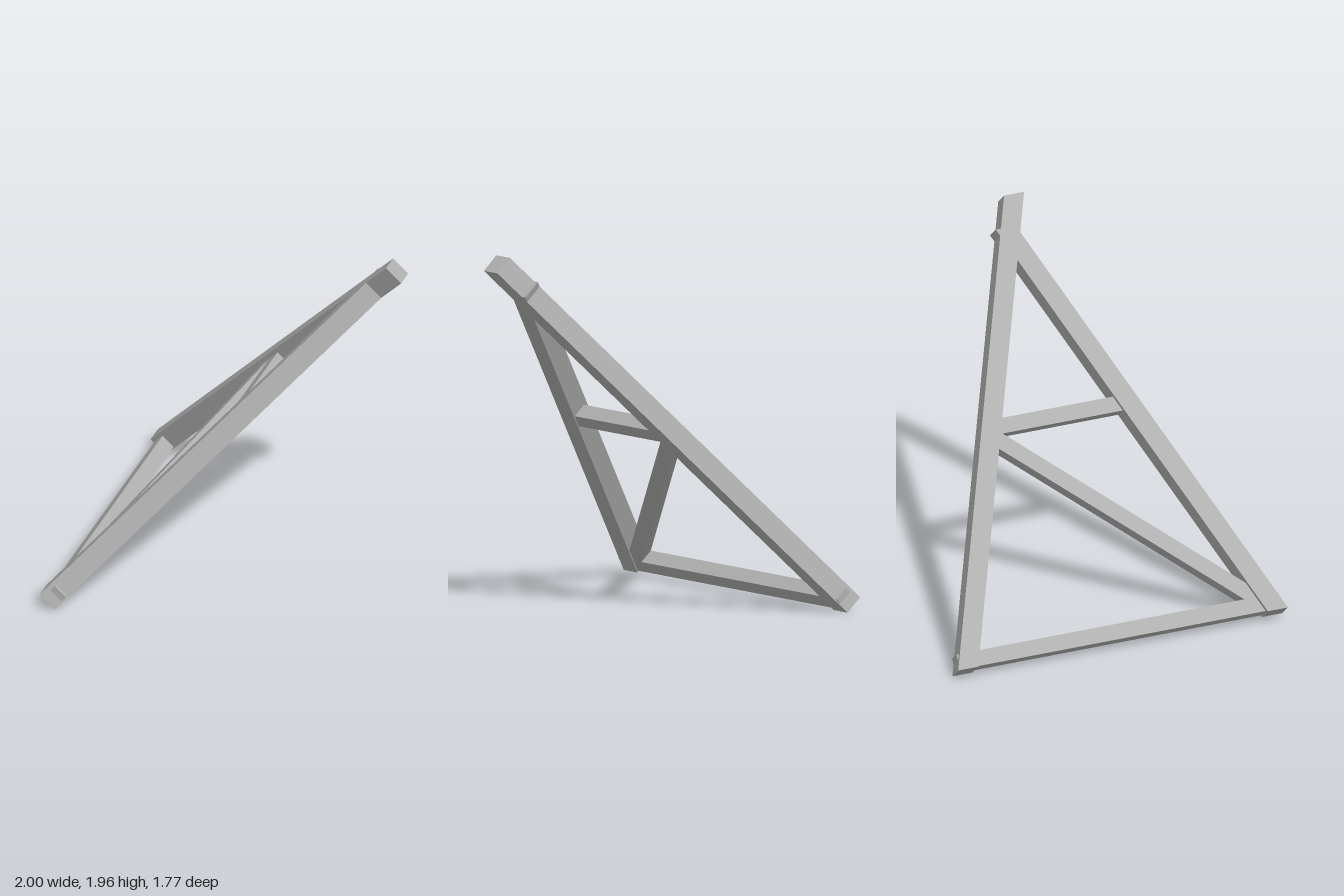
import * as THREE from 'three';

const CHORD = 0.115; // section of the two main beams
const STRUT = 0.085; // section of the thinner members

export function createModel() {
  const model = new THREE.Group();
  const grey = new THREE.MeshStandardMaterial({ color: 0xb0b0b0 });

  // Tilted plane of the truss: u runs along the base, v up the frame
  const truss = new THREE.Group();
  truss.name = 'trussFrame';
  const u = new THREE.Vector3(0.492, -0.008, -0.87).normalize();
  const w = u.clone().cross(new THREE.Vector3(0.58, 0.748, 0.321)).normalize();
  const v = w.clone().cross(u);
  truss.quaternion.setFromRotationMatrix(new THREE.Matrix4().makeBasis(u, v, w));
  truss.position.set(-0.935, 0.056, 0.739);
  model.add(truss);

  // Extrudes an outline in the truss plane, centred on depth z
  function plate(name, points, depth, z) {
    const shape = new THREE.Shape(points.map(([x, y]) => new THREE.Vector2(x, y)));
    const geo = new THREE.ExtrudeGeometry(shape, { depth, bevelEnabled: false });
    geo.translate(0, 0, z - depth / 2);
    const mesh = new THREE.Mesh(geo, grey);
    mesh.name = name;
    truss.add(mesh);
  }

  // Main beam with both ends cut parallel to the base
  function chord(name, [x0, y0], [x1, y1]) {
    const h = CHORD / 2;
    plate(name, [[x0 - h, y0], [x0 + h, y0], [x1 + h, y1], [x1 - h, y1]], CHORD, 0);
  }

  // Thin member with square ends
  function strut(name, [x0, y0], [x1, y1]) {
    const len = Math.hypot(x1 - x0, y1 - y0);
    const px = -(y1 - y0) / len * STRUT / 2;
    const py = (x1 - x0) / len * STRUT / 2;
    plate(name, [[x0 - px, y0 - py], [x1 - px, y1 - py], [x1 + px, y1 + py], [x0 + px, y0 + py]], STRUT, 0.008);
  }

  chord('longBeam', [1.782, 0], [0.842, 2.504]);
  chord('shortBeam', [0, 0], [0.937, 2.33]);

  // Base tie pokes slightly through both main beams
  strut('baseTie', [-0.036, 0.051], [1.818, 0.051]);
  strut('diagonalBrace', [0.05, 0.047], [1.31, 1.235]);
  strut('crossTie', [0.5, 1.275], [1.3, 1.275]);

  return model;
}
